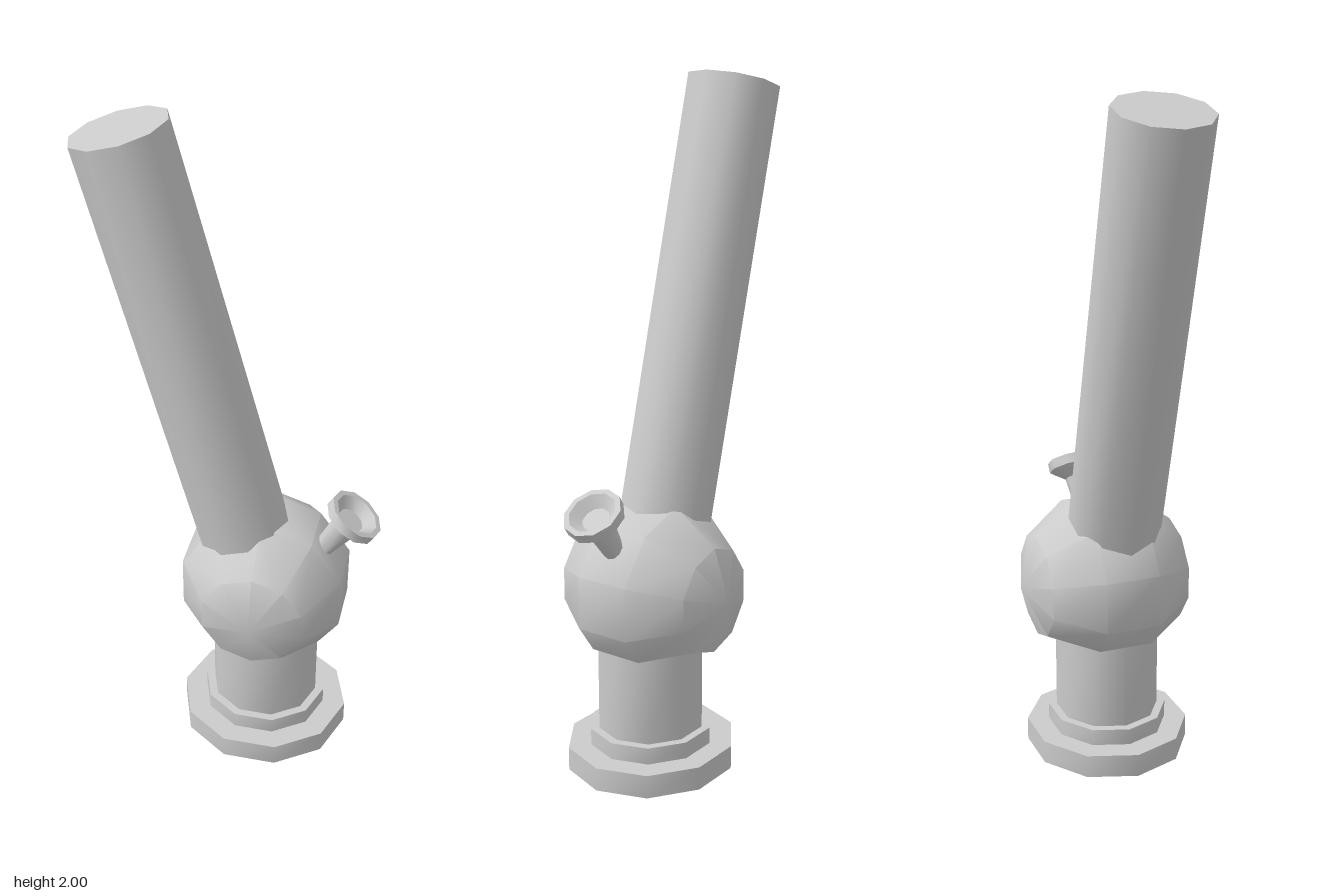
import * as THREE from 'three';
import { toCreasedNormals } from 'three/addons/utils/BufferGeometryUtils.js';

const SIDES = 10;
const material = new THREE.MeshStandardMaterial({ color: 0xcccccc });

function addPart(parent, name, geometry, x, y, z) {
  const mesh = new THREE.Mesh(toCreasedNormals(geometry, 0.7), material);
  mesh.name = name;
  mesh.position.set(x, y, z);
  parent.add(mesh);
  return mesh;
}

// Ten-sided cylinder with a corner pointing along x
function decagon(radius, height) {
  return new THREE.CylinderGeometry(radius, radius, height, SIDES, 1, false, Math.PI / 2);
}

// Sphere with its poles along z, cut flat underneath
function chamberGeometry() {
  const cut = -0.16;
  const geo = new THREE.SphereGeometry(0.265, SIDES, 5);
  geo.rotateY(Math.PI / 2).rotateX(Math.PI / 2);
  const p = geo.attributes.position;
  for (let i = 0; i < p.count; i++) {
    if (p.getY(i) < cut) {
      // slide the lowest corners up along their edges to the cut
      p.setX(i, p.getX(i) * 1.22);
      p.setY(i, cut);
    }
  }
  return geo;
}

export function createModel() {
  const group = new THREE.Group();
  group.name = 'waterPipe';

  // Stepped foot and neck: [name, radius, bottom, top]
  const tiers = [
    ['base', 0.26, 0, 0.07],
    ['baseStep', 0.19, 0.07, 0.12],
    ['neck', 0.164, 0.12, 0.42],
  ];
  for (const [name, radius, bottom, top] of tiers) {
    const geo = decagon(radius, top - bottom).scale(1, 1, 0.945);
    addPart(group, name, geo, 0.098, (bottom + top) / 2, 0.007);
  }

  // Round chamber
  addPart(group, 'chamber', chamberGeometry(), 0.095, 0.55, -0.002);

  // Long leaning tube, placed by the centre of its top
  const tubeLength = 1.4;
  const tube = decagon(0.139, tubeLength).translate(0, -tubeLength / 2, 0);
  addPart(group, 'tube', tube, -0.305, 1.964, 0.007).rotation.z = THREE.MathUtils.degToRad(15.2);

  // Small bowl on a tapering stem, placed by the centre of its rim
  const profile = [
    [0, -0.22], [0.024, -0.22], [0.042, -0.06], [0.086, -0.03],
    [0.086, 0], [0.07, 0], [0.041, -0.03], [0, -0.03],
  ].map(([r, y]) => new THREE.Vector2(r, y));
  const bowl = new THREE.LatheGeometry(profile, SIDES, Math.PI / 2);
  addPart(group, 'bowl', bowl, 0.362, 0.84, 0.005).rotation.z = THREE.MathUtils.degToRad(-34);

  return group;
}
